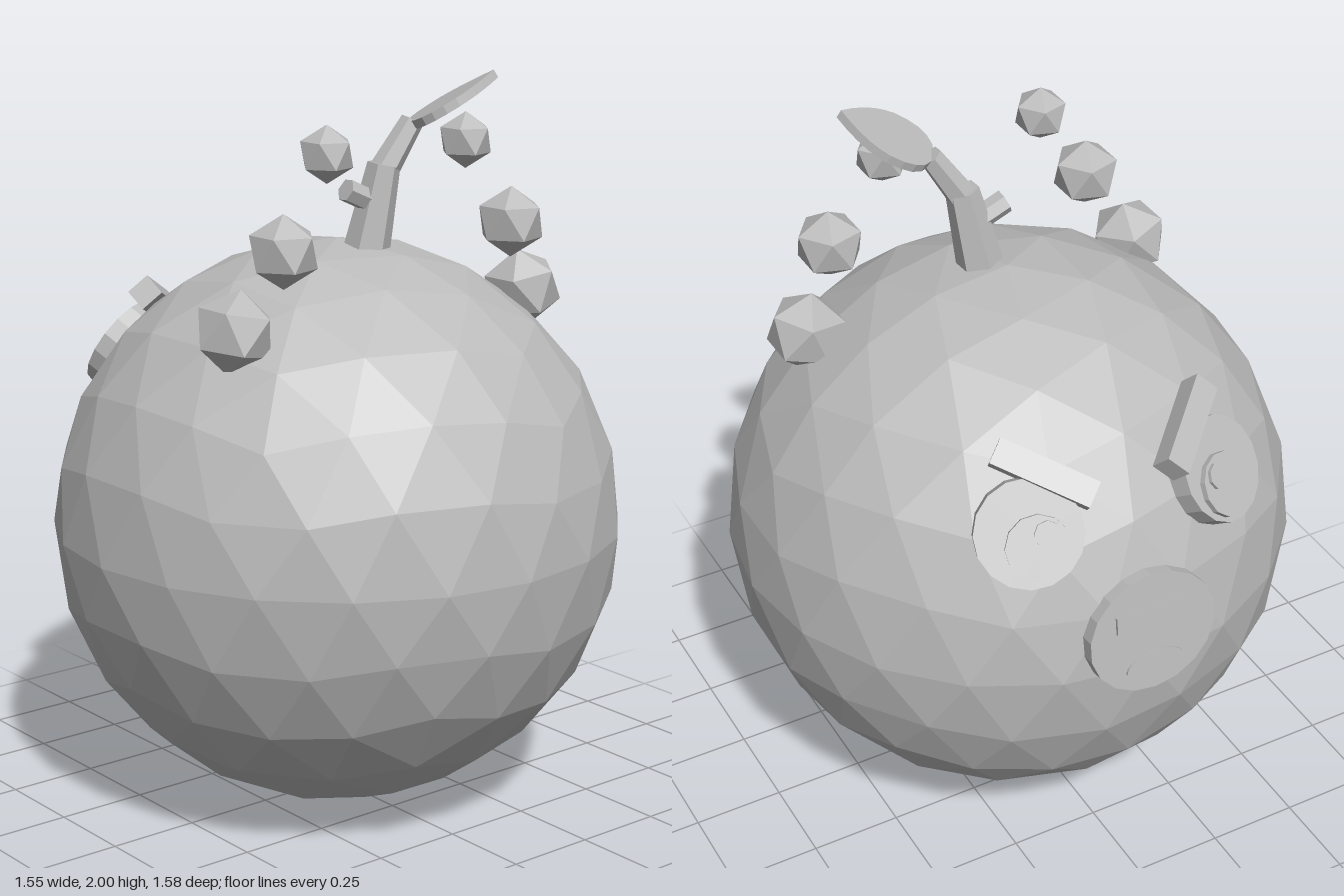
import * as THREE from 'three';

const grey = new THREE.MeshStandardMaterial({ color: 0xbbbbbb });
grey.name = 'plain grey';

const R = 0.777;
const CENTRE = new THREE.Vector3(0, 0.778, 0.008);
const v = (x, y, z) => new THREE.Vector3(x, y, z);

// Faceted mesh: every face gets its own normal
function part(name, geometry, parent) {
  const g = geometry.index ? geometry.toNonIndexed() : geometry;
  g.computeVertexNormals();
  const mesh = new THREE.Mesh(g, grey);
  mesh.name = name;
  parent.add(mesh);
  return mesh;
}

// Icosahedron standing on one corner
const ico = (r, detail = 0) => new THREE.IcosahedronGeometry(r, detail).rotateZ(-Math.atan(2 / (1 + Math.sqrt(5))));

// Icosphere: split each edge twice, rounding after each split
function icosphere(r) {
  const p = Array.from(ico(1, 1).attributes.position.array);
  return new THREE.PolyhedronGeometry(p, p.slice(0, p.length / 3).map((_, i) => i), r, 1);
}

// Disc facing +z with its face at height z
const disc = (r, depth, z, sides, x = 0, y = 0) =>
  new THREE.CylinderGeometry(r, r, depth, sides).rotateX(Math.PI / 2).translate(x, y, z - depth / 2);

// Tapered six-sided limb between two points
function limb(name, a, b, ra, rb, parent, sides = 6) {
  const dir = b.clone().sub(a);
  const mesh = part(name, new THREE.CylinderGeometry(rb, ra, dir.length(), sides), parent);
  mesh.position.copy(a).add(b).multiplyScalar(0.5);
  mesh.quaternion.setFromUnitVectors(v(0, 1, 0), dir.normalize());
  return mesh;
}

// Group at the body centre whose +z points outward along a direction
function facing(name, dir, parent) {
  const g = new THREE.Group();
  g.name = name;
  g.position.copy(CENTRE);
  g.lookAt(CENTRE.clone().add(dir));
  parent.add(g);
  return g;
}

// Rotation from a lengthwise axis (y) and an approximate sideways axis (x)
function orient(mesh, along, side) {
  const y = along.clone().normalize();
  const z = side.clone().cross(y).normalize();
  const x = y.clone().cross(z);
  mesh.quaternion.setFromRotationMatrix(new THREE.Matrix4().makeBasis(x, y, z));
}

export function createModel() {
  const model = new THREE.Group();
  model.name = 'roundCreature';

  part('body', icosphere(R), model).position.copy(CENTRE);

  // Stem with a side twig
  limb('stemLower', v(0.035, 1.5, 0.08), v(0.08, 1.755, 0.105), 0.066, 0.045, model);
  limb('stemUpper', v(0.07, 1.72, 0.1), v(0.16, 1.865, 0.125), 0.042, 0.032, model);
  limb('twig', v(0.05, 1.655, 0.095), v(-0.038, 1.695, 0.09), 0.032, 0.032, model);

  // Leaf with a rounded base and pointed tip
  const leafShape = new THREE.Shape();
  leafShape.moveTo(0, 0);
  leafShape.bezierCurveTo(0.07, 0, 0.1, 0.05, 0.095, 0.12);
  leafShape.quadraticCurveTo(0.085, 0.19, 0, 0.265);
  leafShape.quadraticCurveTo(-0.085, 0.19, -0.095, 0.12);
  leafShape.bezierCurveTo(-0.1, 0.05, -0.07, 0, 0, 0);
  const leafGeo = new THREE.ExtrudeGeometry(leafShape, { depth: 0.024, bevelEnabled: false, curveSegments: 5 });
  const leaf = part('leaf', leafGeo.translate(0, 0, -0.012), model);
  leaf.position.set(0.15, 1.855, 0.135);
  orient(leaf, v(0.21, 0.132, 0.1), v(-0.44, 0.12, 0.9));

  for (const s of [-1, 1]) {
    // Floating beads, shrinking upward
    [[0.493, 1.39, 0.208, 0.111], [0.386, 1.592, 0.272, 0.096], [0.234, 1.822, 0.255, 0.075]].forEach(
      ([x, y, z, r], i) => {
        const bead = part('bead' + (i + 1), ico(r), model);
        bead.position.set(s * x, y, z);
        if (i === 0) bead.rotation.z = s * 0.2;
      });

    // Eye, pupil and glint
    const eye = facing('eye', v(s * 0.275, 0.42, -0.615), model);
    part('eyeball', disc(0.14, 0.1, 0.812, 16), eye);
    part('pupil', disc(0.085, 0.03, 0.828, 12, s * 0.022, -0.035), eye);
    part('glint', disc(0.035, 0.02, 0.838, 8, s * 0.045, 0), eye);

    // Slanted brow
    const outer = v(s * 0.3, 1.37, -0.47), inner = v(s * 0.11, 1.278, -0.645);
    const brow = part('brow', new THREE.BoxGeometry(0.07, 0.27, 0.065), model);
    brow.position.copy(outer).add(inner).multiplyScalar(0.5);
    const along = inner.clone().sub(outer);
    orient(brow, along, along.clone().cross(brow.position.clone().sub(CENTRE)));
  }

  // Mouth plate with teeth and tongue
  const mouth = facing('mouth', v(0, 0.139, -0.99), model);
  const plate = part('mouthPlate', disc(0.185, 0.06, 0.784, 18), mouth);
  plate.scale.y = 0.92;
  part('teeth', new THREE.BoxGeometry(0.215, 0.05, 0.009).translate(0, 0.055, 0.788), mouth);
  const tongue = new THREE.Shape();
  tongue.absellipse(0, 0, 0.085, 0.045, 0, Math.PI);
  part('tongue', new THREE.ExtrudeGeometry(tongue, { depth: 0.009, bevelEnabled: false, curveSegments: 8 })
    .translate(0, -0.1, 0.782), mouth);

  return model;
}
